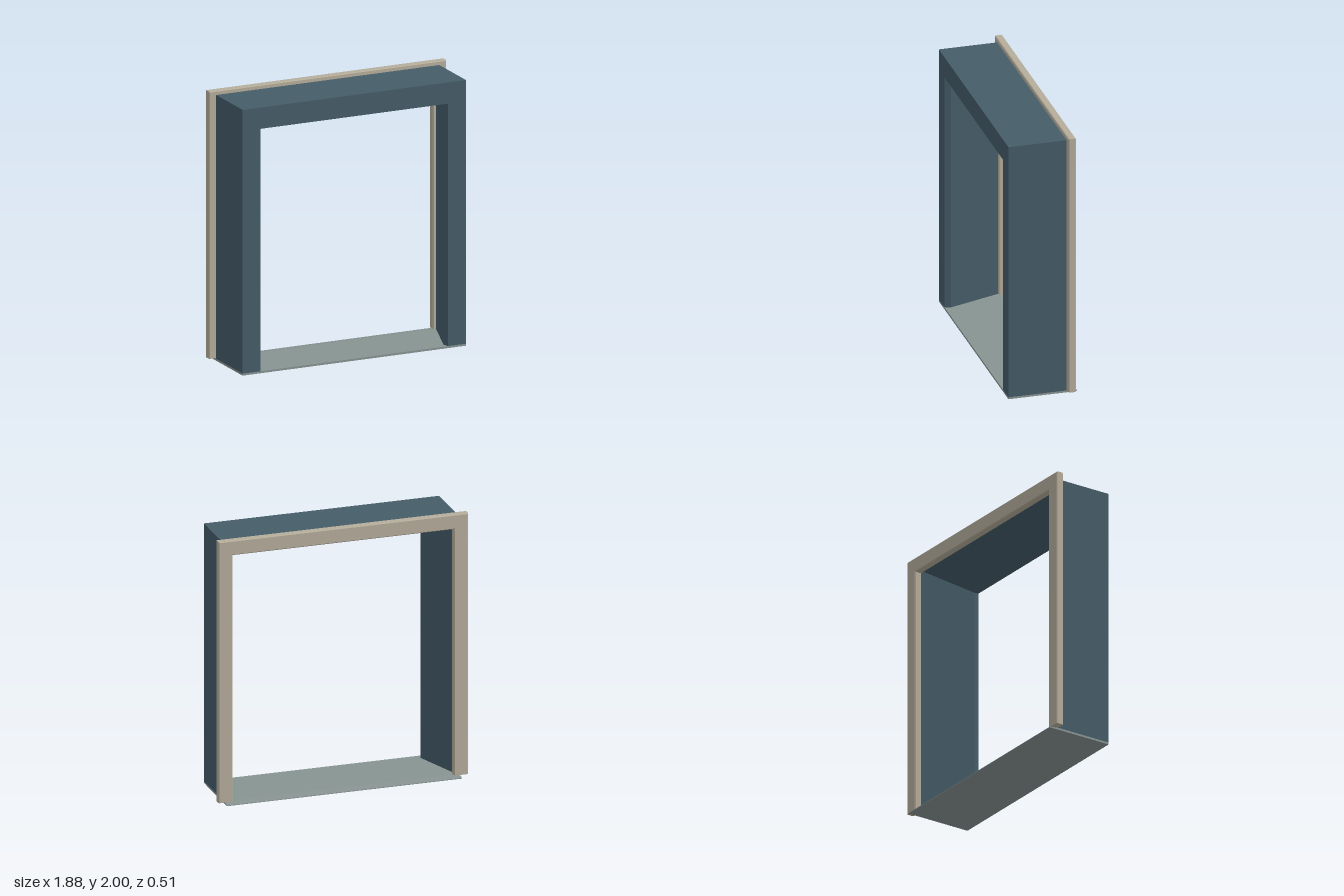
import * as THREE from 'three';

// Sweeps a convex profile up one jamb, across the head and down the other, with mitred corners.
// Each profile point is [half width, head height, z], ordered outer front, outer back, inner back, inner front.
function portal(name, profile, bottom, color) {
  const pos = [];
  const n = profile.length;
  const at = (i, s) => {
    const [x, top, z] = profile[i % n];
    return [s < 2 ? x : -x, s === 0 || s === 3 ? bottom : top, z];
  };
  const tri = (a, b, c) => pos.push(...a, ...b, ...c);
  for (let s = 0; s < 3; s++) {
    for (let i = 0; i < n; i++) {
      const a = at(i, s), b = at(i + 1, s), c = at(i + 1, s + 1), d = at(i, s + 1);
      tri(a, b, c);
      tri(a, c, d);
    }
  }
  // Feet of the two jambs
  for (let i = 1; i < n - 1; i++) {
    tri(at(0, 0), at(i + 1, 0), at(i, 0));
    tri(at(0, 3), at(i, 3), at(i + 1, 3));
  }
  const geometry = new THREE.BufferGeometry();
  geometry.setAttribute('position', new THREE.Float32BufferAttribute(pos, 3));
  geometry.computeVertexNormals();
  const mesh = new THREE.Mesh(geometry, new THREE.MeshStandardMaterial({ color }));
  mesh.name = name;
  return mesh;
}

export function createModel() {
  const group = new THREE.Group();
  group.name = 'doorSurround';

  // Deep frame: the reveal splays outward to the back, with a small chamfer at the front edge
  group.add(portal('frame', [
    [0.885, 1.97, 0.255],
    [0.885, 1.97, -0.176],
    [0.86, 1.925, -0.176],
    [0.73, 1.8, 0.21],
    [0.745, 1.812, 0.255],
  ], 0.015, 0x455c68));

  // Flat back trim with slightly eased edges
  const b = 0.006, zf = -0.176, zb = -0.232;
  const outer = [0.94, 2.0], inner = [0.835, 1.89];
  group.add(portal('backTrim', [
    [outer[0] - b, outer[1] - b, zf],
    [outer[0], outer[1], zf - b],
    [outer[0], outer[1], zb + b],
    [outer[0] - b, outer[1] - b, zb],
    [inner[0] + b, inner[1] + b, zb],
    [inner[0], inner[1], zb + b],
    [inner[0], inner[1], zf - b],
    [inner[0] + b, inner[1] + b, zf],
  ], 0.02, 0xb5ad9b));

  // Thin threshold whose top tapers down to the back
  const section = new THREE.Shape();
  section.moveTo(-0.255, 0);
  section.lineTo(0.255, 0);
  section.lineTo(0.255, 0.005);
  section.lineTo(0.19, 0.015);
  section.lineTo(-0.255, 0.015);
  section.closePath();
  const sillGeometry = new THREE.ExtrudeGeometry(section, { depth: 1.77, bevelEnabled: false });
  sillGeometry.translate(0, 0, -0.885);
  sillGeometry.rotateY(Math.PI / 2); // section x becomes -z
  const sill = new THREE.Mesh(sillGeometry, new THREE.MeshStandardMaterial({ color: 0x879391 }));
  sill.name = 'threshold';
  group.add(sill);

  return group;
}
